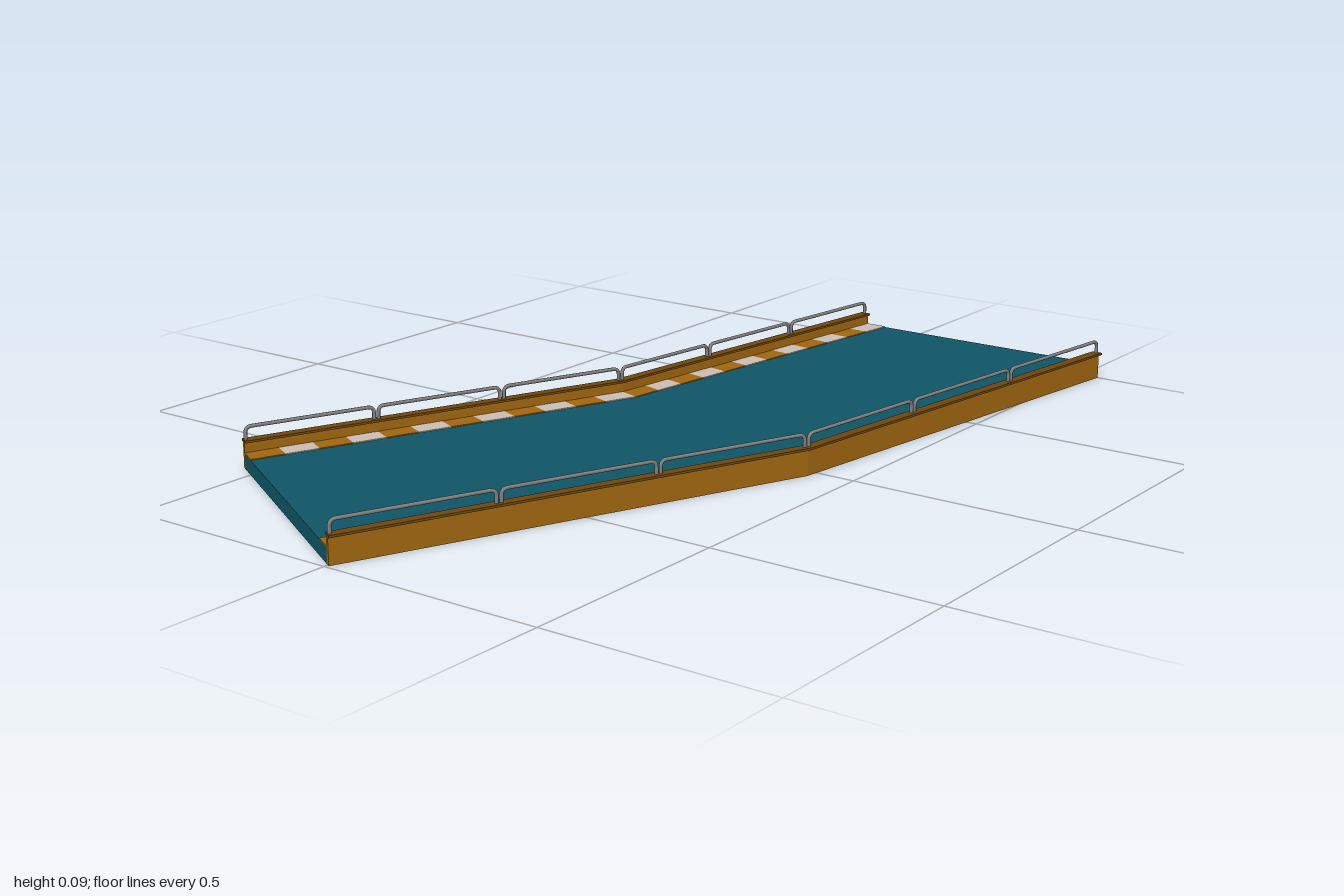
import * as THREE from 'three';

// Outer edge of each side at the back end, the bend and the front end: [x, z]
const LEFT = [[-0.107, -1], [-0.216, -0.15], [-0.553, 0.67]];
const RIGHT = [[0.548, -1], [0.416, 0.03], [0.013, 0.998]];
const WIDTH = 0.655;

const paint = (color) => new THREE.MeshStandardMaterial({ color, flatShading: true });
const teal = paint(0x0e5565);
const orange = paint(0xa0660f);
const darkOrange = paint(0x6e460c);
const pale = paint(0xcbbcb0);
const steel = new THREE.MeshStandardMaterial({ color: 0x808080 });

// Maps a distance d across the road, a height and a station t (0 back, 1 bend, 2 front) to space
function place(d, y, t) {
  const i = t < 1 ? 0 : 1;
  const f = t - i;
  const u = d / WIDTH;
  const at = (side, k) => THREE.MathUtils.lerp(side[i][k], side[i + 1][k], f);
  return new THREE.Vector3(
    THREE.MathUtils.lerp(at(LEFT, 0), at(RIGHT, 0), u), y,
    THREE.MathUtils.lerp(at(LEFT, 1), at(RIGHT, 1), u));
}

// A box bent to follow the road
function bar(name, material, d0, d1, y0, y1, t0 = 0, t1 = 2) {
  const geo = new THREE.BoxGeometry(1, 1, 1, 1, 1, t1 - t0 > 1 ? 2 : 1);
  const p = geo.attributes.position;
  for (let i = 0; i < p.count; i++) {
    const v = place(
      THREE.MathUtils.lerp(d0, d1, p.getX(i) + 0.5),
      THREE.MathUtils.lerp(y0, y1, p.getY(i) + 0.5),
      THREE.MathUtils.lerp(t0, t1, p.getZ(i) + 0.5));
    p.setXYZ(i, v.x, v.y, v.z);
  }
  geo.computeVertexNormals();
  const mesh = new THREE.Mesh(geo, material);
  mesh.name = name;
  return mesh;
}

// One hoop of handrail: two posts joined by a top tube with rounded corners
function hoop(d, t0, t1) {
  const base = 0.058, top = 0.088, r = 0.014;
  const a = place(d, base, t0), b = place(d, base, t1);
  const along = b.clone().sub(a).normalize();
  a.addScaledVector(along, 0.005);
  b.addScaledVector(along, -0.005);
  const pt = (p, y, s) => p.clone().addScaledVector(along, s).setY(y);
  const path = new THREE.CurvePath();
  path.add(new THREE.LineCurve3(a, pt(a, top - r, 0)));
  path.add(new THREE.QuadraticBezierCurve3(pt(a, top - r, 0), pt(a, top, 0), pt(a, top, r)));
  path.add(new THREE.LineCurve3(pt(a, top, r), pt(b, top, -r)));
  path.add(new THREE.QuadraticBezierCurve3(pt(b, top, -r), pt(b, top, 0), pt(b, top - r, 0)));
  path.add(new THREE.LineCurve3(pt(b, top - r, 0), b));
  const mesh = new THREE.Mesh(new THREE.TubeGeometry(path, 80, 0.004, 8), steel);
  mesh.name = 'railHoop';
  return mesh;
}

function createSide(name, mirrored) {
  const side = new THREE.Group();
  side.name = name;
  const span = (d0, d1) => (mirrored ? [WIDTH - d1, WIDTH - d0] : [d0, d1]);

  // Side wall and its overhanging cap
  side.add(bar('wall', orange, ...span(0.008, 0.019), 0, 0.057));
  side.add(bar('wallCap', darkOrange, ...span(0, 0.024), 0.056, 0.061));

  // Striped kerb, twelve blocks on each straight
  const blocks = 12;
  for (let i = 0; i < blocks * 2; i++) {
    side.add(bar('kerbBlock', i % 2 ? orange : pale, ...span(0.019, 0.068),
      0.03, 0.035, i / blocks, (i + 1) / blocks));
  }

  // Handrail, three hoops on each straight
  const rail = new THREE.Group();
  rail.name = 'handrail';
  for (let i = 0; i < 6; i++) rail.add(hoop(span(0.012, 0.012)[0], i / 3, (i + 1) / 3));
  side.add(rail);
  return side;
}

export function createModel() {
  const model = new THREE.Group();
  model.name = 'bentRoadSection';
  model.add(bar('roadDeck', teal, 0.019, WIDTH - 0.019, 0, 0.033));
  model.add(createSide('rightSide', false));
  model.add(createSide('leftSide', true));
  return model;
}
